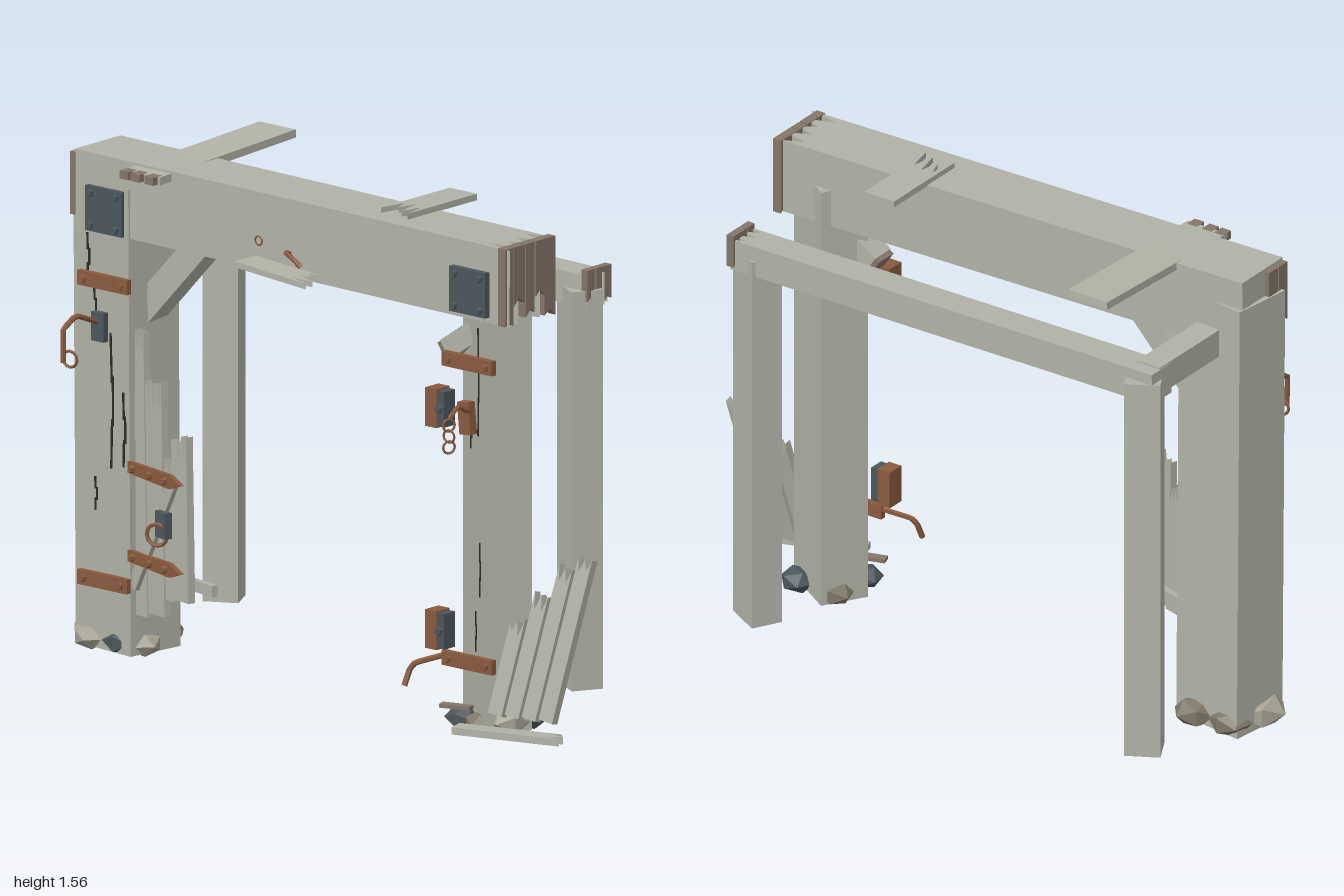
import * as THREE from 'three';

const paint = (name, color, extra = {}) => {
  const m = new THREE.MeshStandardMaterial({ color, flatShading: true, ...extra });
  m.name = name;
  return m;
};

export function createModel() {
  const root = new THREE.Group();
  root.name = 'ruinedGate';
  const wood = paint('weatheredWood', 0xb1b2a6);
  const brokenWood = paint('brokenWood', 0x84766a);
  const rust = paint('rustyIron', 0x8a5a3e);
  const iron = paint('darkIron', 0x4c575c);
  const crackMat = paint('crack', 0x2c2c29);
  const stoneLight = paint('paleStone', 0xa5a294);
  const stoneBrown = paint('brownStone', 0x7f7868);

  let seed = 7;
  const rand = () => (seed = (seed * 16807) % 2147483647) / 2147483647;

  const add = (name, geo, mat, pos = [0, 0, 0], rot = [0, 0, 0], parent = root) => {
    const m = new THREE.Mesh(geo, mat);
    m.name = name;
    m.position.set(...pos);
    m.rotation.set(...rot);
    parent.add(m);
    return m;
  };
  const box = (name, size, mat, pos, rot, parent) => add(name, new THREE.BoxGeometry(...size), mat, pos, rot, parent);

  // Board standing on its origin, with a splintered upper end
  const board = (w, h, t, bite, teeth = 3) => {
    const s = new THREE.Shape();
    s.moveTo(-w / 2, 0);
    s.lineTo(w / 2, 0);
    for (let i = 0; i <= teeth * 2; i++) {
      const drop = i % 2 ? bite * (0.6 + 0.4 * rand()) : bite * 0.4 * rand();
      s.lineTo(w / 2 - (w * i) / (teeth * 2), h - drop);
    }
    s.closePath();
    return new THREE.ExtrudeGeometry(s, { depth: t, bevelEnabled: false }).translate(0, 0, -t / 2);
  };
  // Turns a board to run along +x with its width along z
  const lie = new THREE.Matrix4().makeBasis(
    new THREE.Vector3(0, 0, 1), new THREE.Vector3(1, 0, 0), new THREE.Vector3(0, 1, 0));
  const lying = (...a) => board(...a).applyMatrix4(lie);

  const rod = (name, pts, r = 0.009) => {
    const curve = new THREE.CatmullRomCurve3(pts.map(p => new THREE.Vector3(...p)), false, 'catmullrom', 0.1);
    add(name, new THREE.TubeGeometry(curve, 14, r, 6), rust);
  };
  const ring = (name, r, pos, rot, mat = rust, parent = root) =>
    add(name, new THREE.TorusGeometry(r, r * 0.2, 5, 12), mat, pos, rot, parent);
  const bolt = (pos, mat, parent) =>
    add('bolt', new THREE.CylinderGeometry(0.011, 0.013, 0.016, 6), mat, pos, [Math.PI / 2, 0, 0], parent);

  // Front posts, with cracks on their front faces: [x, y, length]
  const post = (name, size, pos, rot, cracks) => {
    const p = box(name, size, wood, pos, rot);
    for (const [x, y, len] of cracks) {
      for (let i = 0; i < 3; i++) {
        box('crack', [0.007, len / 2.6, 0.004], crackMat,
          [x + (i % 2 ? 0.007 : 0), y - pos[1] + (i - 1) * len / 3, size[2] / 2 + 0.001], [0, 0, 0.03 * (i - 1)], p);
      }
    }
  };
  post('leftPost', [0.25, 1.45, 0.2], [-0.825, 0.745, 0.1], [0, -0.13, 0.008],
    [[0.045, 0.8, 0.4], [0.1, 0.72, 0.22], [-0.06, 1.23, 0.14], [-0.03, 1.08, 0.14], [-0.03, 0.5, 0.1]]);
  post('rightPost', [0.21, 1.4, 0.153], [0.64, 0.72, 0.08], [0, -0.55, 0],
    [[0.055, 1.1, 0.32], [0.07, 0.52, 0.16], [-0.02, 0.93, 0.1], [0.03, 0.32, 0.12]]);

  // Back posts
  box('backPostLeft', [0.11, 1.26, 0.1], wood, [-0.81, 0.71, -0.325], [0, 0.5, 0]);
  box('backPostRight', [0.13, 1.24, 0.1], wood, [0.65, 0.69, -0.285], [0, -0.5, 0]);

  // Main lintel, back beam and side rail
  add('lintel', lying(0.21, 1.73, 0.24, 0.11, 4), wood, [-0.94, 1.44, 0.105], [0, 0.008, -0.013]);
  add('backBeam', lying(0.1, 1.59, 0.1, 0.09, 3), wood, [-0.86, 1.325, -0.305], [0, -0.004, -0.011]);
  box('sideRail', [0.085, 0.09, 0.36], wood, [-0.815, 1.335, -0.13]);

  // Splintered strips hanging on the beam ends
  const strips = [[0.185, 0.25, 0.035], [0.14, 0.19, 0.05], [0.09, 0.23, 0.04], [0.045, 0.18, 0.04], [0.0, 0.25, 0.05]];
  for (const [z, len, w] of strips) {
    add('lintelEndSplinter', board(w, len, 0.03, 0.03, 1), brokenWood, [0.765, 1.54, z], [Math.PI, Math.PI / 2, 0]);
  }
  for (const [z, len] of [[0.19, 0.2], [0.14, 0.24]]) {
    add('lintelLeftSplinter', board(0.045, len, 0.02, 0.04, 1), brokenWood, [-0.945, 1.55, z], [Math.PI, Math.PI / 2, 0]);
  }
  for (const z of [-0.265, -0.305, -0.34]) {
    add('backBeamSplinter', board(0.035, 0.1 + rand() * 0.03, 0.025, 0.03, 1), brokenWood, [0.7, 1.375, z], [Math.PI, Math.PI / 2, 0]);
  }

  // Loose planks over the top
  box('topPlankWide', [0.145, 0.025, 0.62], wood, [-0.625, 1.548, -0.05], [0.045, 0, 0]);
  for (const x of [-0.68, -0.635, -0.58]) box('topPlankSplinter', [0.035, 0.025, 0.04], brokenWood, [x, 1.535, 0.26]);
  add('topPlankShort', board(0.11, 0.32, 0.02, 0.12, 3), wood, [0.275, 1.552, -0.18], [Math.PI / 2, 0, 0]);

  // Diagonal braces
  box('leftBrace', [0.085, 0.36, 0.08], wood, [-0.62, 1.2, 0.1], [0, 0, -0.75]);
  box('rightBraceStub', [0.12, 0.065, 0.08], wood, [0.53, 1.2, 0.1], [0, 0, 0.6]);
  box('rightBraceEnd', [0.02, 0.06, 0.075], brokenWood, [0.475, 1.163, 0.1], [0, 0, 0.6]);

  // Corner plates with four bolts each
  for (const x of [-0.81, 0.645]) {
    box('cornerPlate', [0.145, 0.14, 0.02], iron, [x, 1.39, 0.215]);
    for (const dx of [-0.05, 0.05]) for (const dy of [-0.05, 0.05]) bolt([x + dx, 1.39 + dy, 0.23], iron);
  }

  // Iron straps on the posts
  for (const x of [-0.81, 0.65]) for (const y of [1.17, 0.24]) {
    box('postStrap', [0.2, 0.045, 0.02], rust, [x, y, 0.222]);
    for (const dx of [-0.075, 0.075]) bolt([x + dx, y, 0.236], rust);
  }

  // Gate hinge blocks on the right post
  for (const y of [1.02, 0.33]) {
    box('hingeBlock', [0.045, 0.12, 0.06], rust, [0.535, y, 0.235]);
    box('hingePlate', [0.035, 0.11, 0.05], iron, [0.567, y, 0.235]);
    bolt([0.567, y, 0.265], iron);
  }

  // Remaining gate leaf, swung slightly forward on the left post
  const leaf = new THREE.Group();
  leaf.name = 'gateLeaf';
  leaf.position.set(-0.71, 0, 0.18);
  leaf.rotation.y = -0.25;
  root.add(leaf);
  [[0.035, 0.15, 0.9, 0.065], [0.115, 0.17, 0.74, 0.085], [0.19, 0.23, 0.46, 0.05], [0.245, 0.24, 0.53, 0.08]]
    .forEach(([x, y, h, w]) => add('gatePlank', board(w, h, 0.025, 0.11, 3), wood, [x, y, 0], [0, 0, 0.025], leaf));
  box('gateBatten', [0.36, 0.035, 0.02], wood, [0.19, 0.29, -0.025], [0, 0, 0.02], leaf);
  box('gateDiagonal', [0.04, 0.42, 0.016], wood, [0.11, 0.42, 0.02], [0, 0, -0.52], leaf);
  for (const y of [0.61, 0.335]) {
    const s = new THREE.Shape([[0, -0.018], [0.22, -0.022], [0.28, 0], [0.22, 0.022], [0, 0.018]].map(p => new THREE.Vector2(...p)));
    add('gateStrap', new THREE.ExtrudeGeometry(s, { depth: 0.014, bevelEnabled: false }), rust, [0, y, 0.025], [0, 0, 0], leaf);
    for (const x of [0.03, 0.12, 0.2]) bolt([x, y, 0.045], rust, leaf);
  }
  box('latchPlate', [0.055, 0.08, 0.025], iron, [0.185, 0.47, 0.035], [0, 0, 0], leaf);
  ring('latchRing', 0.033, [0.18, 0.44, 0.055], [0, 0.6, 0], rust, leaf);

  // Hook and ring on the left post
  box('hookPlate', [0.05, 0.09, 0.02], iron, [-0.825, 1.03, 0.225]);
  rod('lampHook', [[-0.83, 1.04, 0.22], [-0.835, 1.08, 0.32], [-0.83, 1.05, 0.385], [-0.825, 0.95, 0.39]]);
  ring('hookRing', 0.025, [-0.825, 0.955, 0.36], [0, 0.2, 0]);

  // Bracket with a short chain on the right post
  box('chainBracket', [0.045, 0.1, 0.03], rust, [0.645, 1.0, 0.225], [0, 0, 0.1]);
  rod('chainArm', [[0.66, 1.02, 0.23], [0.665, 1.05, 0.29], [0.665, 1.02, 0.33]], 0.007);
  for (let i = 0; i < 3; i++) ring('chainLink', 0.019, [0.665, 1.0 - i * 0.034, 0.33], [0, i % 2 ? 0.2 : 1.1, 0]);

  // Bent bar by the lower right hinge
  rod('bentBar', [[0.56, 0.25, 0.22], [0.48, 0.22, 0.27], [0.465, 0.2, 0.28], [0.46, 0.15, 0.3]]);

  // Broken sign shelf on the lintel
  add('brokenShelf', lying(0.1, 0.29, 0.018, 0.1, 3), wood, [-0.22, 1.342, 0.25], [0, 0, -0.07]);
  ring('lintelRing', 0.014, [-0.18, 1.41, 0.235], [0, 0, 0]);
  rod('lintelHook', [[-0.07, 1.385, 0.22], [-0.05, 1.4, 0.26], [0, 1.39, 0.28], [0.03, 1.37, 0.28]], 0.008);

  // Broken gate boards leaning on the right post
  [0.31, 0.41, 0.48, 0.53].forEach((h, i) =>
    add('leaningBoard', board(0.055, h, 0.025, 0.08, 2), wood, [0.735 + i * 0.057, 0.085, 0.19 - i * 0.012], [-0.25, 0, -0.1]));
  add('fallenBoard', lying(0.06, 0.36, 0.022, 0.06, 2), wood, [0.66, 0.05, 0.295], [0, 0.3, 0]);
  box('groundChip', [0.1, 0.012, 0.03], brokenWood, [0.58, 0.087, 0.2], [0, 0.3, 0]);

  // Faceted stones around the post feet: [x, z, radius, material]
  for (const [x, z, r, mat] of [
    [-0.92, 0.12, 0.078, stoneLight], [-0.88, 0.02, 0.065, stoneBrown], [-0.78, 0.17, 0.06, iron],
    [-0.72, 0.14, 0.055, stoneLight], [-0.76, 0.01, 0.065, stoneBrown], [-0.9, 0.18, 0.055, stoneLight],
    [0.57, 0.16, 0.052, iron], [0.65, 0.17, 0.05, stoneBrown], [0.72, 0.12, 0.06, stoneLight],
    [0.72, 0.02, 0.055, iron], [0.58, 0.02, 0.055, stoneBrown]]) {
    const m = add('footStone', new THREE.IcosahedronGeometry(r, 0), mat, [x, 0.01 + r * 0.66, z], [0, rand() * 6, 0]);
    m.scale.set(1.1, 0.72, 1);
  }
  return root;
}
